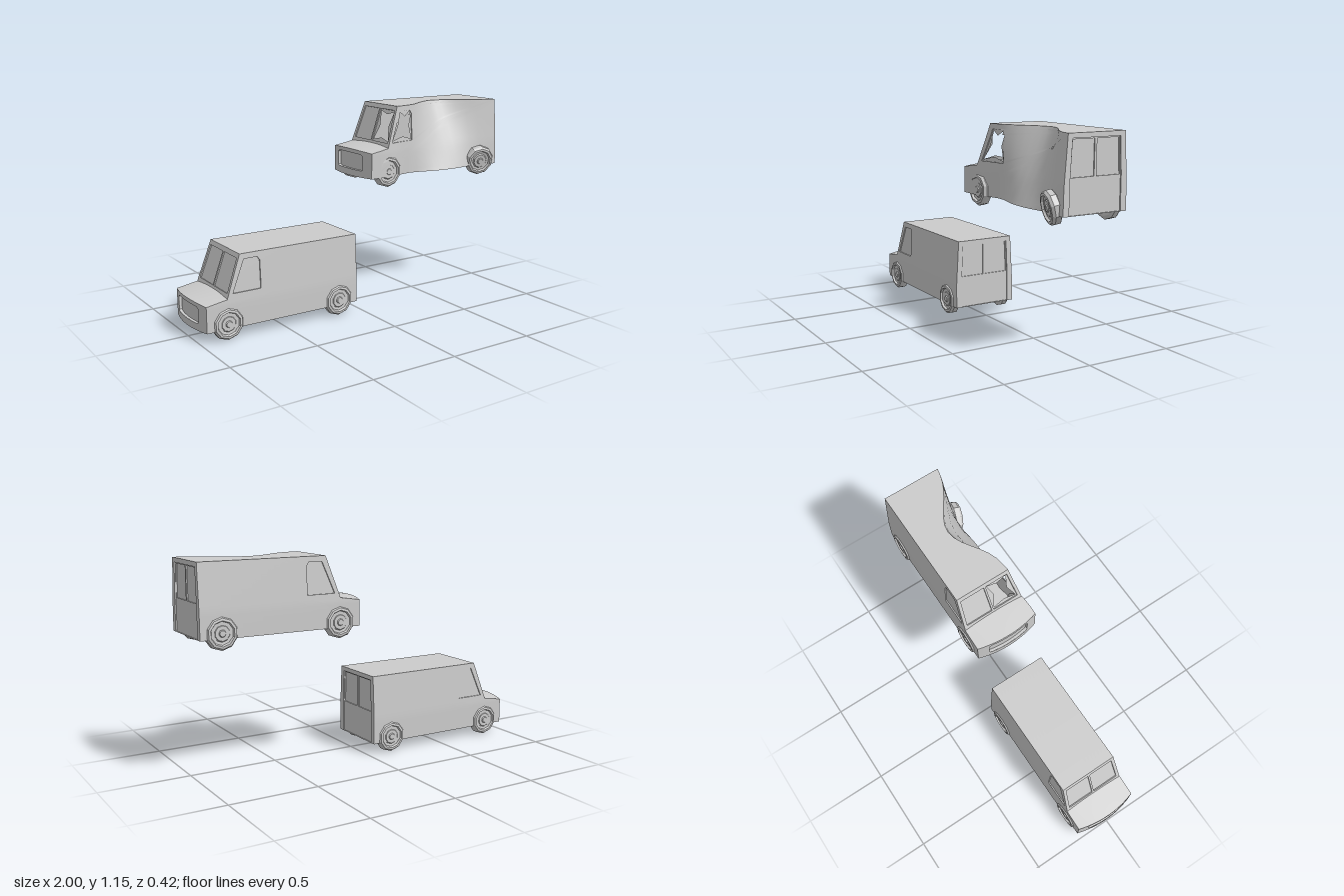
import * as THREE from 'three';
import { mergeVertices } from 'three/addons/utils/BufferGeometryUtils.js';

const bodyMat = new THREE.MeshStandardMaterial({ color: 0xcccccc, side: THREE.DoubleSide });
const wheelMat = new THREE.MeshStandardMaterial({ color: 0xcccccc, flatShading: true });

const ZC = -0.011, FLOOR = 0.06, ROOF = 0.455, REAR = -0.035;
const lerp = THREE.MathUtils.lerp;
const vec = ([x, y]) => new THREE.Vector2(x, y);
const bump = (x, c, w) => Math.exp(-(((x - c) / w) ** 2));

// half width of the body: upright below the belt, leaning in above it
const halfWidth = y => (y < 0.2 ? 0.19 : lerp(0.19, 0.175, (y - 0.2) / 0.255));

// crushed flank: deepest at the roof, only wavy at the sill
function dent(p) {
  const t = THREE.MathUtils.clamp((p.y - FLOOR) / (ROOF - FLOOR), 0, 1);
  const top = 0.188 * bump(p.x, -0.4, 0.215) + 0.02 * bump(p.x, -0.77, 0.1);
  const sill = 0.045 * bump(p.x, -0.66, 0.13) + 0.02 * bump(p.x, -0.2, 0.1);
  const k = THREE.MathUtils.clamp((p.z + 0.2) / 0.38, 0, 1.1);
  p.z -= lerp(sill, top, t) * k * k;
}

// split every triangle in four, a number of times
function split(tris, levels) {
  for (let i = 0; i < levels; i++) {
    const out = [];
    for (const [a, b, c] of tris) {
      const ab = a.clone().lerp(b, 0.5), bc = b.clone().lerp(c, 0.5), ca = c.clone().lerp(a, 0.5);
      out.push([a, ab, ca], [ab, b, bc], [ca, bc, c], [ab, bc, ca]);
    }
    tris = out;
  }
  return tris;
}

// star shaped hole left in a smashed pane
function starHole(pts) {
  const c = [0, 1].map(i => pts.reduce((s, p) => s + p[i], 0) / pts.length);
  const pull = (p, f) => [lerp(c[0], p[0], f), lerp(c[1], p[1], f)];
  return pts.flatMap((p, i) => {
    const q = pts[(i + 1) % pts.length];
    return [pull(p, 0.9), pull([(p[0] + q[0]) / 2, (p[1] + q[1]) / 2], i % 2 ? 0.55 : 0.72)];
  });
}

function createVan(damaged) {
  const van = new THREE.Group();

  // triangles in (u, v, depth) -> mesh on the body surface
  function surface(name, tris, map, levels) {
    const pos = split(tris, levels).flat().flatMap(q => {
      const p = new THREE.Vector3(...map(q.x, q.y, q.z));
      if (damaged) dent(p);
      return [p.x, p.y, p.z];
    });
    let g = new THREE.BufferGeometry();
    g.setAttribute('position', new THREE.Float32BufferAttribute(pos, 3));
    g = mergeVertices(g, 1e-6);
    g.computeVertexNormals();
    const mesh = new THREE.Mesh(g, bodyMat);
    mesh.name = name;
    van.add(mesh);
  }

  // a sheet with recessed insets, each with its own rim and back plate
  function panel(name, outline, map, insets = [], depth = 0, levels = 4, holes = []) {
    const shape = new THREE.Shape(outline.map(vec));
    for (const h of [...insets.map(i => i.pts), ...holes]) shape.holes.push(new THREE.Path(h.map(vec)));
    const g = new THREE.ShapeGeometry(shape);
    const at = i => new THREE.Vector3().fromBufferAttribute(g.attributes.position, i).setZ(depth);
    const tris = [];
    for (let i = 0; i < g.index.count; i += 3) tris.push([0, 1, 2].map(k => at(g.index.getX(i + k))));
    surface(name, tris, map, levels);
    for (const inset of insets) {
      const d = depth + inset.depth;
      inset.pts.forEach((p, i) => {
        const q = inset.pts[(i + 1) % inset.pts.length];
        const [a, b, c, e] = [[p, depth], [q, depth], [q, d], [p, d]].map(([s, w]) => new THREE.Vector3(...s, w));
        surface(inset.name + 'Rim', [[a, b, c], [a, c, e]], map, 2);
      });
      panel(inset.name, inset.pts, map, inset.insets, d, 3, inset.broken ? [starHole(inset.pts)] : []);
    }
  }

  // flanks with a front door window
  const flank = [[-0.97, FLOOR], [REAR, FLOOR], [REAR, ROOF], [-0.765, ROOF], [-0.849, 0.224], [-0.97, 0.205]];
  const doorWindow = [[-0.815, 0.25], [-0.648, 0.25], [-0.648, 0.405], [-0.662, 0.425], [-0.742, 0.425]];
  for (const s of [1, -1]) {
    panel(s > 0 ? 'nearSide' : 'farSide', flank,
      (x, y, w) => [x, y, ZC + s * (halfWidth(y) - w)],
      [{ name: 'doorWindow', pts: doorWindow, depth: 0.007, broken: damaged && s > 0 }]);
  }

  // roof and floor
  panel('roof', [[-0.765, -0.175], [REAR, -0.175], [REAR, 0.175], [-0.765, 0.175]],
    (x, z) => [x, ROOF, ZC + z]);
  const bow = z => -1 + 0.03 * (z / 0.19) ** 2;
  panel('floor', [[0, -0.19], [1, -0.19], [1, 0.19], [0, 0.19]],
    (t, z) => [lerp(bow(z), REAR, t), FLOOR, ZC + z]);

  // rear wall: sunken doors with two windows
  const rearWindow = s => ({
    name: 'rearWindow', depth: 0.006,
    pts: [[0.007, 0.243], [0.15, 0.243], [0.142, 0.424], [0.007, 0.424]].map(([z, y]) => [s * z, y]),
  });
  panel('rearWall', [[-0.19, FLOOR], [0.19, FLOOR], [0.19, 0.2], [0.175, ROOF], [-0.175, ROOF], [-0.19, 0.2]],
    (z, y, w) => [REAR - w, y, ZC + z],
    [{
      name: 'rearDoors', depth: 0.007, insets: [rearWindow(1), rearWindow(-1)],
      pts: [[-0.155, 0.062], [0.155, 0.062], [0.155, 0.24], [0.147, 0.43], [-0.147, 0.43], [-0.155, 0.24]],
    }]);

  // split windscreen
  const pane = s => ({
    name: 'windscreenPane', depth: 0.007, broken: damaged && s > 0,
    pts: [[0.006, 0.25], [0.168, 0.25], [0.157, 0.43], [0.006, 0.43]].map(([z, y]) => [s * z, y]),
  });
  panel('windscreenFrame', [[-0.1886, 0.224], [0.1886, 0.224], [0.175, ROOF], [-0.175, ROOF]],
    (z, y, w) => [lerp(-0.849, -0.765, (y - 0.224) / 0.231) + 0.94 * w, y - 0.34 * w, ZC + z],
    [pane(1), pane(-1)]);

  // crowned bonnet and bowed nose with a sunken grille
  const crown = z => 0.011 * (z / 0.19) ** 2;
  panel('bonnet', [[0, -0.19], [1, -0.19], [1, 0.19], [0, 0.19]],
    (t, z) => [lerp(bow(z), -0.845, t), lerp(0.216, 0.236, t) - crown(z), ZC + z]);
  panel('nose', [[-0.19, 0], [0.19, 0], [0.19, 1], [-0.19, 1]],
    (z, t, w) => [bow(z) + w, lerp(FLOOR, 0.216 - crown(z), t), ZC + z],
    [{
      name: 'grille', depth: 0.017,
      pts: [[-0.125, 0.3], [-0.11, 0.25], [0.11, 0.25], [0.125, 0.3], [0.125, 0.8], [0.11, 0.86], [-0.11, 0.86], [-0.125, 0.8]],
    }]);

  // wheels: faceted tyre, stepped rim and hub
  const profile = [[0, -0.028], [0.072, -0.028], [0.09, -0.017], [0.09, 0.012], [0.08, 0.026], [0.067, 0.028],
    [0.061, 0.016], [0.046, 0.014], [0.04, 0.021], [0.02, 0.021], [0.016, 0.027], [0, 0.027]].map(vec);
  for (const x of [-0.845, -0.155]) {
    for (const s of [1, -1]) {
      const g = new THREE.LatheGeometry(profile, 10);
      g.rotateX(s * Math.PI / 2);
      const wheel = new THREE.Mesh(g, wheelMat);
      wheel.name = x < -0.5 ? 'frontWheel' : 'rearWheel';
      wheel.position.set(x, 0.09, ZC + s * 0.172);
      if (damaged && s > 0) {
        // knocked out of line on the crushed side
        if (x < -0.5) wheel.position.z -= 0.012;
        else wheel.rotation.set(0.22, -0.25, 0);
      }
      van.add(wheel);
    }
  }
  return van;
}

export function createModel() {
  const model = new THREE.Group();
  const intact = createVan(false);
  intact.name = 'intactVan';
  const wrecked = createVan(true);
  wrecked.name = 'dentedVan';
  wrecked.position.set(1.035, 0.7, 0);
  model.add(intact, wrecked);
  return model;
}
